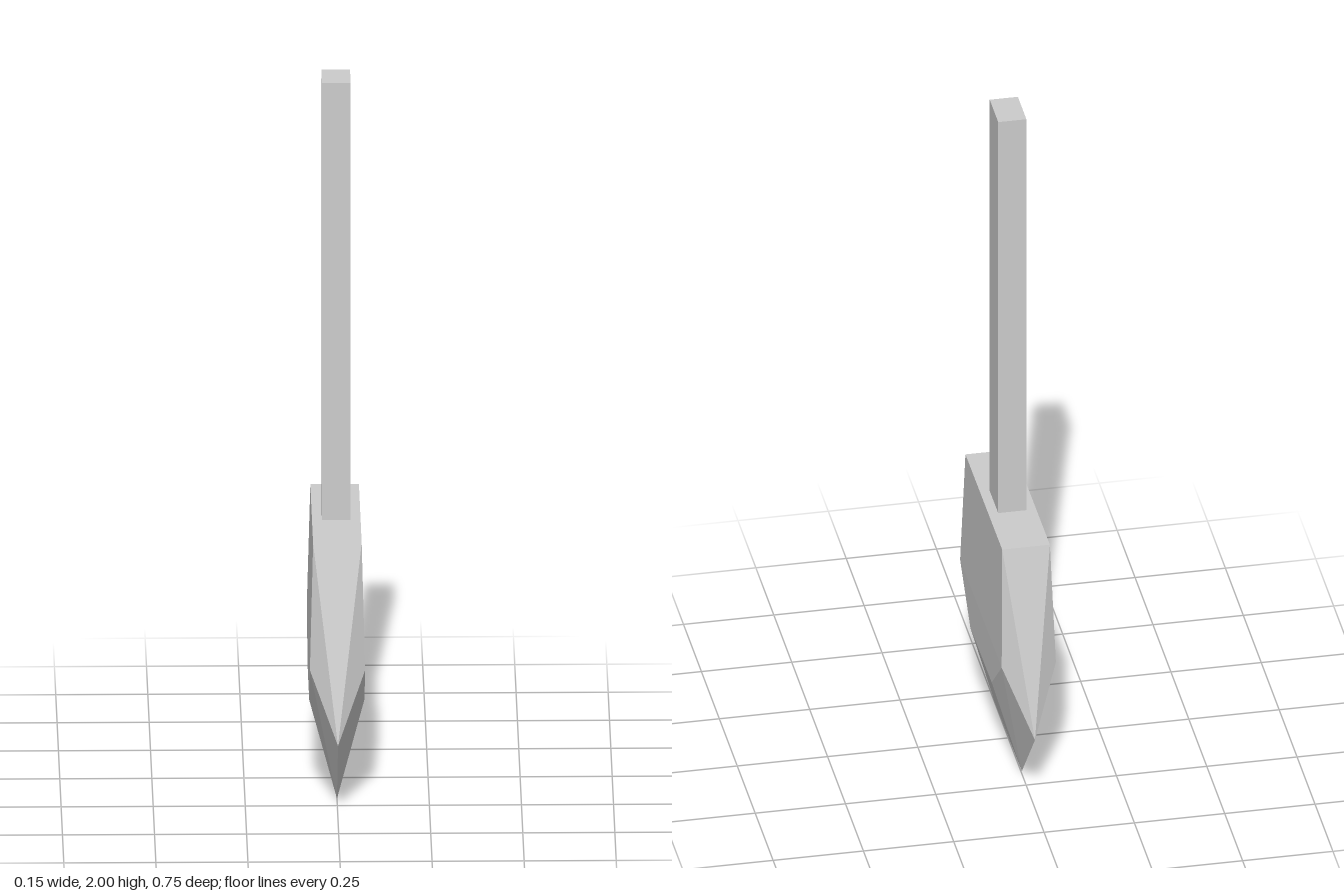
import * as THREE from 'three';

const material = () => new THREE.MeshStandardMaterial({ color: 0xcccccc, flatShading: true });

// Faceted blade: a central outline in the x = 0 plane and a raised inner ring on each side.
function bladeGeometry() {
  // both rings run: front top, front tip, front bottom, back bottom, back tip, back top
  const outer = [
    [0, 0.752, 0.264], [0, 0.21, 0.375], [0, 0, 0.187],
    [0, 0.008, -0.19], [0, 0.217, -0.373], [0, 0.757, -0.249],
  ];
  const inner = [
    [0.066, 0.752, 0.264], [0.075, 0.40, 0.293], [0.075, 0.27, 0.15],
    [0.075, 0.274, -0.147], [0.075, 0.405, -0.287], [0.066, 0.757, -0.249],
  ];
  const positions = [];
  for (const side of [1, -1]) {
    const tri = (a, b, c) => {
      const corners = side > 0 ? [a, b, c] : [a, c, b];
      for (const [x, y, z] of corners) positions.push(x * side, y, z);
    };
    const quad = (a, b, c, d) => { tri(a, b, c); tri(a, c, d); };

    // bevels between outline and ring; front ones split from the tip, back ones mirrored
    for (let i = 0; i < 6; i++) {
      const j = (i + 1) % 6;
      if (i < 3) quad(outer[j], inner[j], inner[i], outer[i]);
      else quad(outer[i], outer[j], inner[j], inner[i]);
    }
    // flat cheek
    quad(inner[0], inner[1], inner[4], inner[5]);
    quad(inner[1], inner[2], inner[3], inner[4]);
  }
  const geometry = new THREE.BufferGeometry();
  geometry.setAttribute('position', new THREE.Float32BufferAttribute(positions, 3));
  geometry.computeVertexNormals();
  return geometry;
}

export function createModel() {
  const model = new THREE.Group();
  model.name = 'paddle';

  const blade = new THREE.Mesh(bladeGeometry(), material());
  blade.name = 'blade';
  model.add(blade);

  // square-cut shaft standing on the blade
  const bottom = 0.74, top = 2;
  const handle = new THREE.Mesh(new THREE.BoxGeometry(0.078, top - bottom, 0.119), material());
  handle.name = 'handle';
  handle.position.set(0, (top + bottom) / 2, 0.002);
  model.add(handle);

  return model;
}
